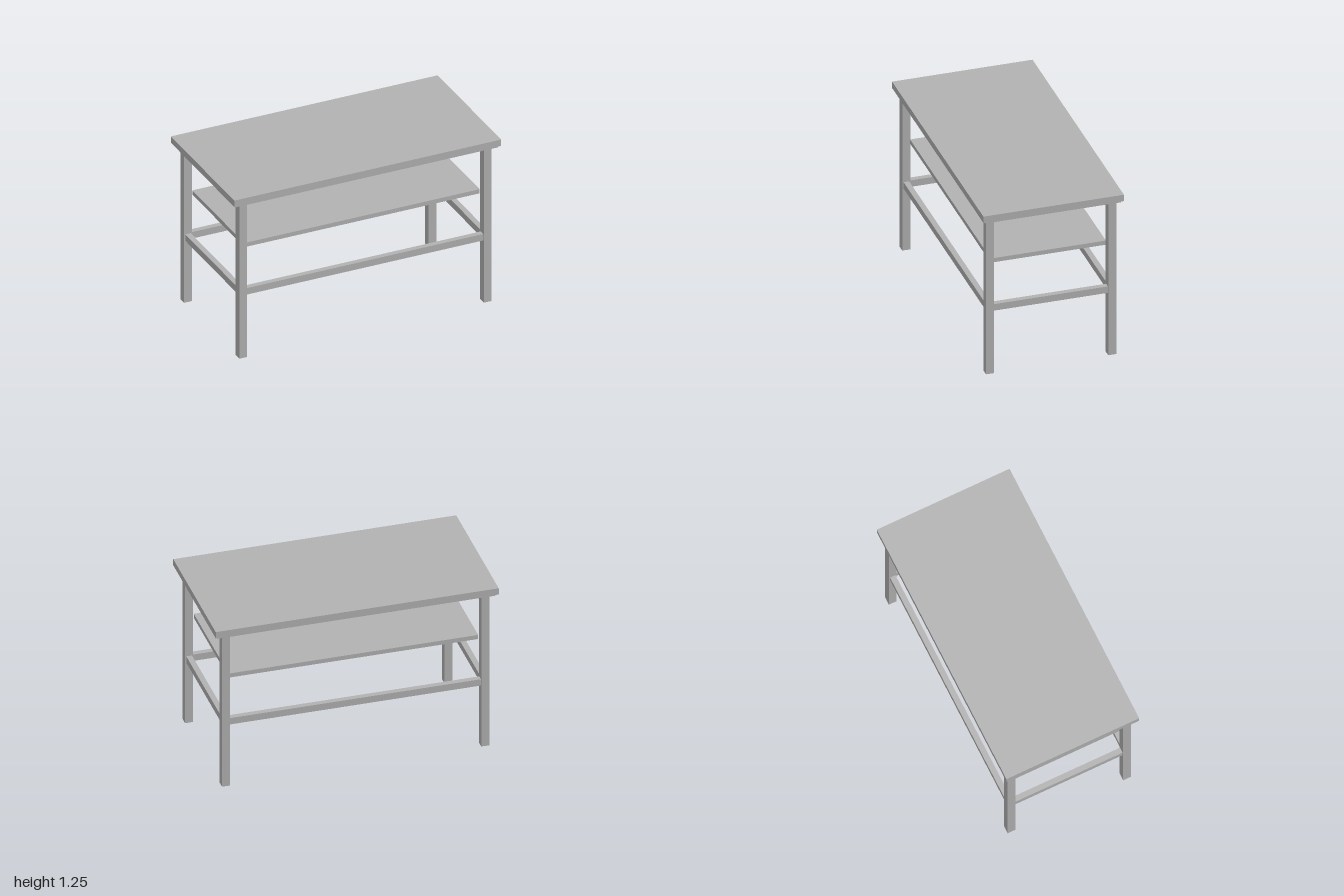
import * as THREE from 'three';

export function createModel() {
  const table = new THREE.Group();
  table.name = 'table';
  const grey = new THREE.MeshStandardMaterial({ color: 0xb2b2b2 });
  grey.name = 'grey';

  // Box spanning y0..y1, centred on x and z
  const addBox = (name, width, y0, y1, depth, x = 0, z = 0) => {
    const mesh = new THREE.Mesh(new THREE.BoxGeometry(width, y1 - y0, depth), grey);
    mesh.name = name;
    mesh.position.set(x, (y0 + y1) / 2, z);
    table.add(mesh);
  };

  const legX = 0.916, legZ = 0.435, legSize = 0.057;
  const railSize = 0.04, railBottom = 0.477, railTop = 0.527;
  const plateBottom = 1.187, plateTop = 1.203;

  // Top slab, the thin plate under it and the shelf
  addBox('tableTop', 2, plateTop, 1.252, 1);
  addBox('underPlate', 1.966, plateBottom, plateTop, 0.966);
  addBox('shelf', 1.764, 0.82, 0.852, 0.82);

  for (const side of [-1, 1]) {
    // Legs at the four corners
    for (const end of [-1, 1]) {
      addBox(`${end > 0 ? 'front' : 'back'}${side > 0 ? 'Left' : 'Right'}Leg`,
        legSize, 0, plateBottom, legSize, side * legX, end * legZ);
    }
    // Rails between the legs
    addBox(side > 0 ? 'frontRail' : 'backRail',
      2 * legX - legSize, railBottom, railTop, railSize, 0, side * legZ);
    addBox(side > 0 ? 'leftRail' : 'rightRail',
      railSize, railBottom, railTop, 2 * legZ - legSize, side * legX, 0);
  }
  return table;
}
